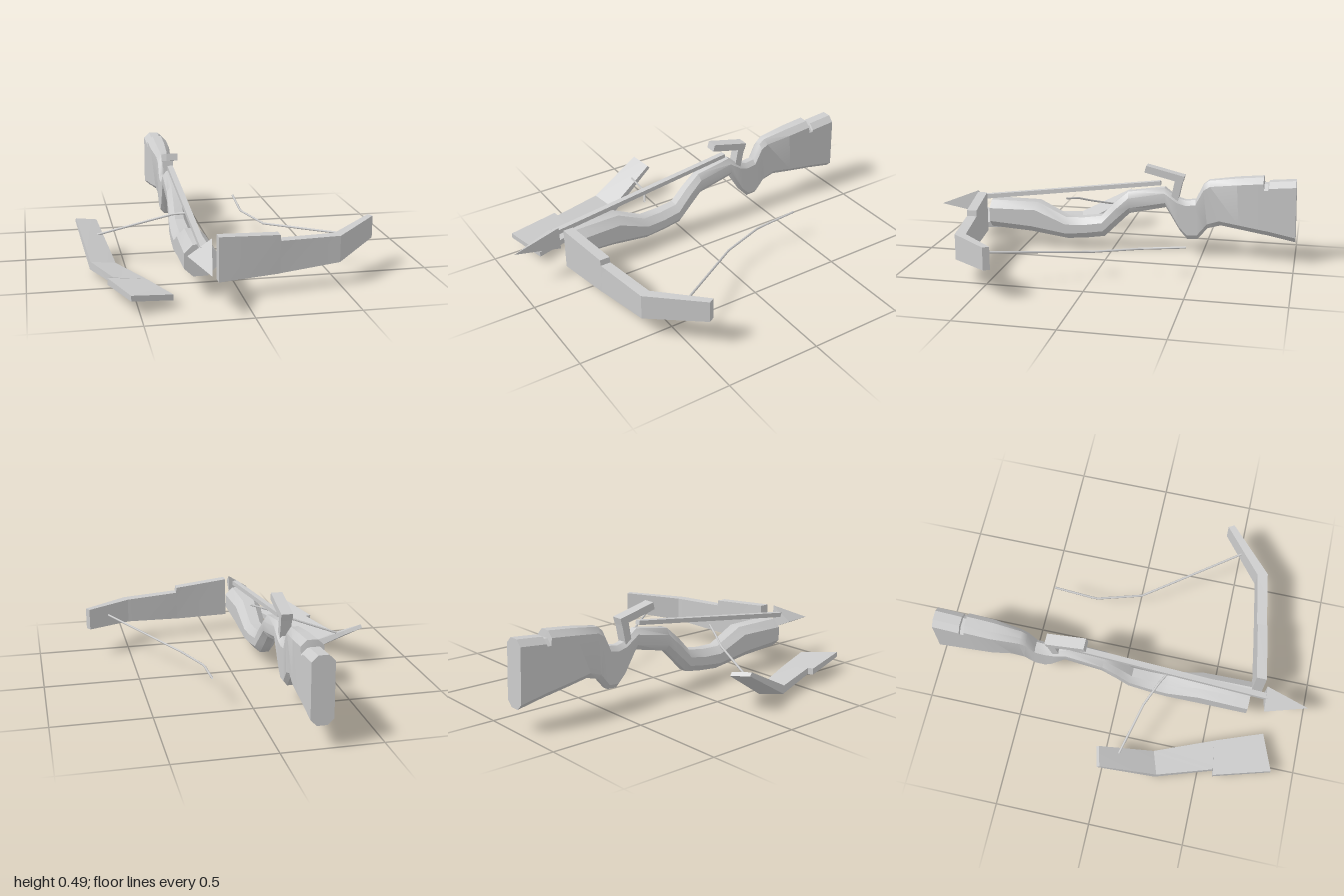
import * as THREE from 'three';
import { toCreasedNormals } from 'three/addons/utils/BufferGeometryUtils.js';
import { ConvexGeometry } from 'three/addons/geometries/ConvexGeometry.js';

const CX = -0.195; // centre line of the stock

// Closed skin through equal-sized rings of [x, y, z] points, capped at both ends
function loft(rings, crease = 0.5) {
  const n = rings[0].length, last = rings.length - 1, tris = [];
  for (let i = 0; i < last; i++) {
    for (let j = 0; j < n; j++) {
      const k = (j + 1) % n;
      const [a, b, c, d] = [rings[i][j], rings[i][k], rings[i + 1][k], rings[i + 1][j]];
      tris.push([a, d, b], [b, d, c]);
    }
  }
  for (let j = 1; j < n - 1; j++) {
    tris.push([rings[0][0], rings[0][j], rings[0][j + 1]]);
    tris.push([rings[last][0], rings[last][j + 1], rings[last][j]]);
  }
  // Turn the faces outward if the rings were wound the other way
  let volume = 0;
  for (const t of tris) {
    const [a, b, c] = t.map((p) => new THREE.Vector3(...p));
    volume += a.dot(b.cross(c));
  }
  if (volume < 0) tris.forEach((t) => t.reverse());
  const geo = new THREE.BufferGeometry();
  geo.setAttribute('position', new THREE.Float32BufferAttribute(tris.flat(2), 3));
  return toCreasedNormals(geo, crease);
}

// Thin cord through a few corner points
function cord(points) {
  const path = new THREE.CurvePath();
  const v = points.map((p) => new THREE.Vector3(...p));
  for (let i = 1; i < v.length; i++) path.add(new THREE.LineCurve3(v[i - 1], v[i]));
  return new THREE.TubeGeometry(path, 36, 0.006, 6);
}

// Bar of given width in x, from a four-cornered side outline of [z, y]
function sideBar(outline, width) {
  return loft([-width / 2, width / 2].map((dx) => outline.map(([z, y]) => [CX + dx, y, z])));
}

export function createModel() {
  const group = new THREE.Group();
  const material = new THREE.MeshStandardMaterial({ color: 0xcccccc, side: THREE.DoubleSide });
  const add = (name, geometry) => {
    const mesh = new THREE.Mesh(geometry, material);
    mesh.name = name;
    group.add(mesh);
  };

  // Stock: chamfered sections [top z, top y, bottom z, bottom y, half width, chamfer]
  const stations = [
    [0.69, 0.26, 0.69, 0.105, 0.077, 0.04],
    [0.42, 0.26, 0.46, 0.09, 0.071, 0.038],
    [0.26, 0.182, 0.25, 0.06, 0.062, 0.035],
    [0.16, 0.185, 0.14, 0.07, 0.058, 0.035],
    [0.06, 0.2, 0.04, 0.085, 0.053, 0.035],
    [-0.01, 0.275, -0.03, 0.155, 0.048, 0.035],
    [-0.09, 0.345, -0.1, 0.225, 0.044, 0.033],
    [-0.29, 0.378, -0.3, 0.27, 0.039, 0.028],
    [-0.36, 0.325, -0.38, 0.14, 0.037, 0.025],
    [-0.41, 0.312, -0.42, 0.097, 0.036, 0.025],
    [-0.46, 0.32, -0.475, 0.1, 0.036, 0.025],
    [-0.5, 0.405, -0.53, 0.165, 0.037, 0.027],
    [-0.53, 0.43, -0.6, 0.186, 0.041, 0.028],
    [-0.68, 0.452, -0.7, 0.172, 0.055, 0.03],
    [-0.82, 0.466, -0.82, 0.153, 0.056, 0.03],
    [-0.825, 0.43, -0.825, 0.152, 0.056, 0.03],
    [-0.845, 0.43, -0.845, 0.15, 0.056, 0.03],
    [-0.85, 0.442, -0.85, 0.149, 0.056, 0.03],
    [-0.99, 0.455, -1, 0.12, 0.056, 0.03],
  ];
  add('stock', loft(stations.map(([zt, yt, zb, yb, w, c]) => {
    const at = (dx, y) => [CX + dx, y, zb + (zt - zb) * (y - yb) / (yt - yb)];
    const n = w * 0.45;
    return [at(n, yt), at(-n, yt), at(-w, yt - c), at(-w, yb + c),
      at(-n, yb), at(n, yb), at(w, yb + c), at(w, yt - c)];
  }), 0.65));

  // Rear sight: stem and sloping bar
  add('sightStem', sideBar([[-0.352, 0.45], [-0.325, 0.31], [-0.365, 0.31], [-0.392, 0.44]], 0.056));
  add('sightBar', sideBar([[-0.19, 0.497], [-0.398, 0.447], [-0.388, 0.41], [-0.18, 0.46]], 0.06));

  // Bolt lying along the top, with its three-sided head
  add('boltShaft', sideBar([[0.78, 0.275], [-0.265, 0.412], [-0.269, 0.39], [0.78, 0.25]], 0.03));
  add('boltHead', new ConvexGeometry([
    [-0.195, 0.21, 1], [-0.155, 0.31, 0.765], [-0.16, 0.18, 0.76], [-0.27, 0.235, 0.775],
  ].map((p) => new THREE.Vector3(...p))));

  // Left limb: [front x, front z, back x, back z, top y, bottom y]
  add('leftLimb', loft([
    [-0.12, 0.755, -0.12, 0.702, 0.31, 0.09],
    [0.184, 0.71, 0.184, 0.657, 0.29, 0.099],
    [0.188, 0.709, 0.188, 0.656, 0.26, 0.1],
    [0.495, 0.662, 0.48, 0.608, 0.253, 0.12],
    [0.735, 0.432, 0.718, 0.402, 0.275, 0.16],
  ].map(([xf, zf, xb, zb, t, b]) => [[xf, t, zf], [xf, b, zf], [xb, b, zb], [xb, t, zb]])));

  // Right limb, broken off: outer and inner underside corners, then the thickness step
  add('rightLimb', loft([
    [[-0.54, 0.072, 0.875], [-0.34, 0.038, 0.805], [0, 0.028, 0]],
    [[-0.622, 0.052, 0.582], [-0.43, 0.024, 0.56], [0, 0.034, 0]],
    [[-0.592, 0.05, 0.577], [-0.432, 0.024, 0.556], [0, 0.034, 0]],
    [[-0.685, 0.03, 0.285], [-0.557, 0.003, 0.245], [0.004, 0.042, 0.008]],
    [[-0.735, 0.2, -0.012], [-0.627, 0.18, -0.04], [0.003, 0.017, 0.014]],
  ].map(([o, i, t]) => [o, i, i.map((v, k) => v + t[k]), o.map((v, k) => v + t[k])])));

  // Snapped string ends hanging from the limbs
  add('leftString', cord([
    [0.61, 0.205, 0.51], [0.27, 0.135, 0.01], [0.195, 0.145, -0.23], [0.2, 0.17, -0.465],
  ]));
  add('rightString', cord([
    [-0.63, 0.145, 0.08], [-0.365, 0.23, 0.155], [-0.25, 0.273, 0.21], [-0.17, 0.288, 0.255],
  ]));
  return group;
}
